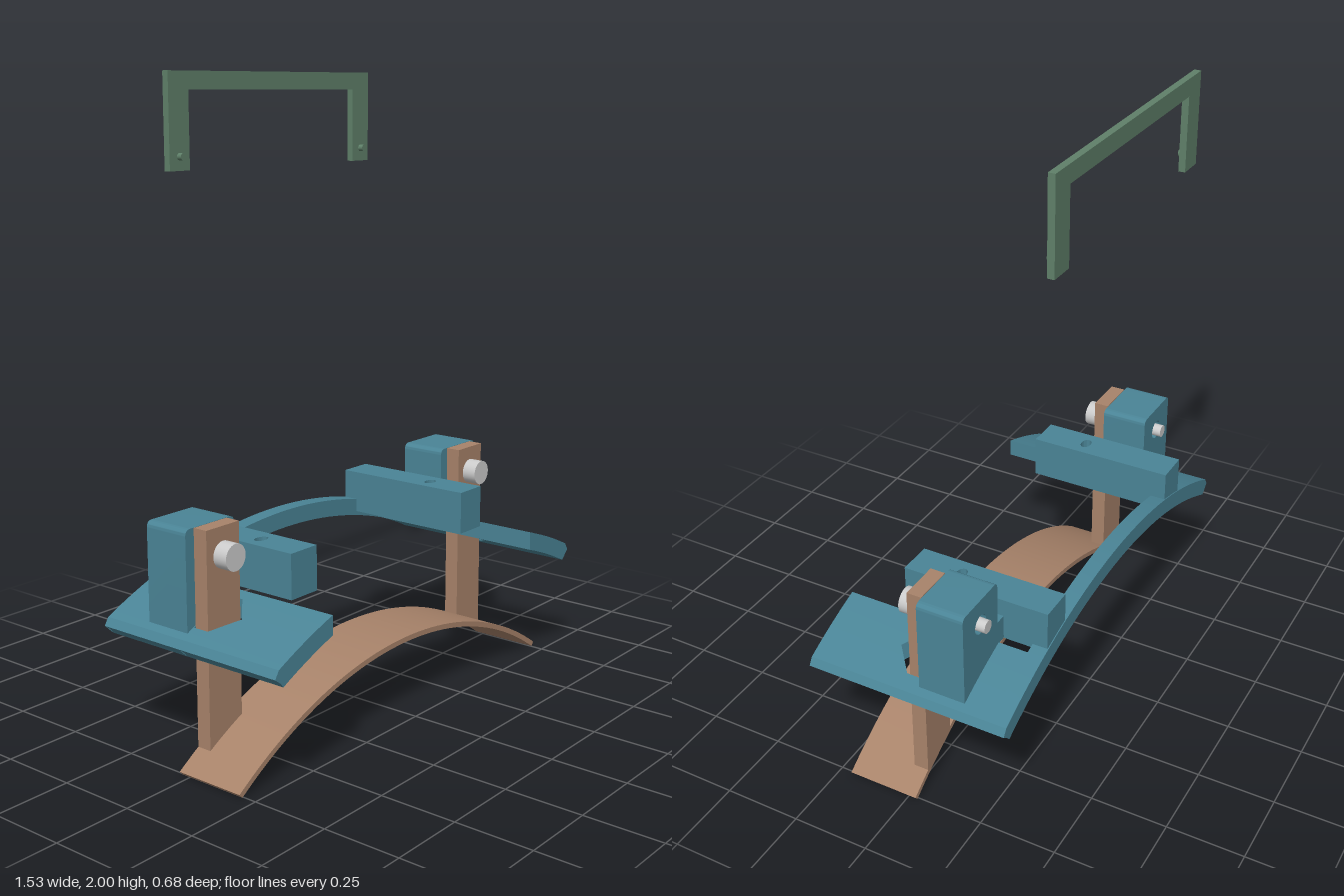
import * as THREE from 'three';
import { toCreasedNormals } from 'three/addons/utils/BufferGeometryUtils.js';

const mat = (color) => new THREE.MeshStandardMaterial({ color });
const clamp = THREE.MathUtils.clamp;

// Both bridges are circular arcs seen from the front
const LOWER = { top: 1.342, bottom: 1.325, cy: -1.085, end: 0.76, skew: 0.006, round: 0 };
const UPPER = { top: 1.687, bottom: 1.63, cy: -1.102, end: 0.747, skew: 0.012, round: 0.015 };
const arcY = (arc, r, x) => arc.cy + Math.sqrt(r * r - x * x);

// Curved slab: a box whose x stations follow an arc; zBack may vary with x
function slab(arc, xs, zBack, zFront) {
  const n = xs.length - 1;
  const g = new THREE.BoxGeometry(1, 1, 1, n, 1, 1);
  const p = g.attributes.position;
  for (let i = 0; i < p.count; i++) {
    const x = xs[Math.round((p.getX(i) + 0.5) * n)];
    const up = Math.sign(p.getY(i));
    const tip = clamp((Math.abs(x) - arc.end + 0.047) / 0.047, 0, 1);
    const inset = Math.abs(x) >= arc.end - 1e-6 ? arc.round : 0;
    const px = x + Math.sign(x) * up * tip * arc.skew;
    const r = up > 0 ? arc.top - inset : arc.bottom + inset;
    p.setXYZ(i, px, arcY(arc, r, px), p.getZ(i) > 0 ? zFront : zBack(Math.abs(x)));
  }
  return toCreasedNormals(g, 0.4);
}

// Evenly spaced stations from -end to end, with extra ones near the tips
function stations(end, n) {
  const xs = [];
  for (let i = 0; i <= n; i++) xs.push(-0.71 + (1.42 * i) / n);
  return [-end, -end + 0.012, ...xs, end - 0.012, end];
}

// Flat outline pushed along z from z0 to z1
function plateZ(shape, z0, z1) {
  const g = new THREE.ExtrudeGeometry(shape, { depth: z1 - z0, bevelEnabled: false, curveSegments: 16 });
  g.translate(0, 0, z0);
  return toCreasedNormals(g, 0.6);
}

const polygon = (pts) => new THREE.Shape(pts.map(([x, y]) => new THREE.Vector2(x, y)));

function cylinderZ(r, z0, z1, x, y) {
  const g = new THREE.CylinderGeometry(r, r, z1 - z0, 32);
  g.rotateX(Math.PI / 2).translate(x, y, (z0 + z1) / 2);
  return g;
}

function box(x0, x1, y0, y1, z0, z1) {
  return new THREE.BoxGeometry(x1 - x0, y1 - y0, z1 - z0)
    .translate((x0 + x1) / 2, (y0 + y1) / 2, (z0 + z1) / 2);
}

// Post outline: rounded top corners and a bolt hole
function postShape(cx, cy) {
  const w = 0.1, top = 0.73, bottom = 0.43, r = 0.02;
  const s = new THREE.Shape();
  // the foot follows the slope of the plate it sits on
  s.moveTo(cx - w, arcY(UPPER, UPPER.top, cx - w) - 0.02);
  s.lineTo(cx + w, arcY(UPPER, UPPER.top, cx + w) - 0.02);
  s.lineTo(cx + w, top - r);
  s.quadraticCurveTo(cx + w, top, cx + w - r, top);
  s.lineTo(cx - w + r, top);
  s.quadraticCurveTo(cx - w, top, cx - w, top - r);
  s.closePath();
  s.holes.push(new THREE.Path().absarc(cx, cy, 0.032, 0, Math.PI * 2, true));
  return s;
}

// Arm with a vertical oval hole, drawn in plan and stood up
function armGeometry(cx) {
  const x0 = cx - 0.057, x1 = cx + 0.057;
  const s = polygon([[x0, -0.157], [x1, -0.157], [x1, 0.335], [x0, 0.335]]);
  s.holes.push(new THREE.Path().absellipse(cx, 0.01, 0.025, 0.017, 0, Math.PI * 2, true));
  const g = new THREE.ExtrudeGeometry(s, { depth: 0.14, bevelEnabled: false, curveSegments: 16 });
  g.rotateX(-Math.PI / 2).translate(0, 0.5, 0);
  return toCreasedNormals(g, 0.6);
}

export function createModel() {
  const group = new THREE.Group();
  const blue = mat(0x4a8496), brown = mat(0xa8836a), green = mat(0x5f8069), grey = mat(0xcccccc);
  const add = (name, geometry, material, parent = group) => {
    const m = new THREE.Mesh(geometry, material);
    m.name = name;
    parent.add(m);
  };

  // Thin lower arch and the narrow rear arch of the frame
  add('lowerArch', slab(LOWER, stations(LOWER.end, 40), () => -0.03, 0.205), brown);
  add('rearArch', slab(UPPER, stations(UPPER.end, 40), () => -0.338, -0.285), blue);

  // Pointed slot in the side plates, as the back limit of the plate's front half
  const slotZ = (x) => (x < 0.5499 || x > 0.6951 ? -0.03 : 0.09 - (0.065 * Math.abs(x - 0.6225)) / 0.0725);
  const plateXs = [0.515, 0.5495, 0.55, 0.585, 0.6225, 0.66, 0.695, 0.6955, 0.72, 0.735, 0.747];

  for (const s of [1, -1]) {
    const side = new THREE.Group();
    side.name = s > 0 ? 'leftSide' : 'rightSide';
    group.add(side);
    const xs = s > 0 ? plateXs : plateXs.map((x) => -x).reverse();
    const cx = s * 0.62, by = 0.645;

    add('sidePlateRear', slab(UPPER, xs, () => -0.338, -0.03), blue, side);
    add('sidePlateFront', slab(UPPER, xs, slotZ, 0.337), blue, side);
    add('post', plateZ(postShape(cx, by), -0.187, -0.032), blue, side);
    add('arm', armGeometry(s * 0.427), blue, side);
    add('armLink', box(s * 0.5 - 0.025, s * 0.5 + 0.025, 0.5, 0.582, -0.187, -0.072), blue, side);

    // Strap standing on the lower arch
    const foot = (x) => [s * x, arcY(LOWER, LOWER.top, x) - 0.008];
    add('strap', plateZ(polygon([foot(0.553), foot(0.62), foot(0.688), [s * 0.688, 0.73], [s * 0.553, 0.73]]),
      -0.03, 0.019), brown, side);

    // Bolt through strap and post
    add('boltHead', cylinderZ(0.041, 0.019, 0.068, cx, by), grey, side);
    add('boltShank', cylinderZ(0.021, -0.212, 0.02, cx, by), grey, side);

    // Locating peg of the top bracket
    add('bracketPeg', cylinderZ(0.011, -0.32, -0.298, s * 0.427, 1.752), green, side);
  }

  // Bracket held above the frame
  add('bracket', plateZ(polygon([[-0.468, 1.71], [-0.385, 1.71], [-0.385, 1.945], [0.385, 1.945],
    [0.385, 1.71], [0.468, 1.71], [0.468, 2], [-0.468, 2]]), -0.337, -0.315), green);

  return group;
}
